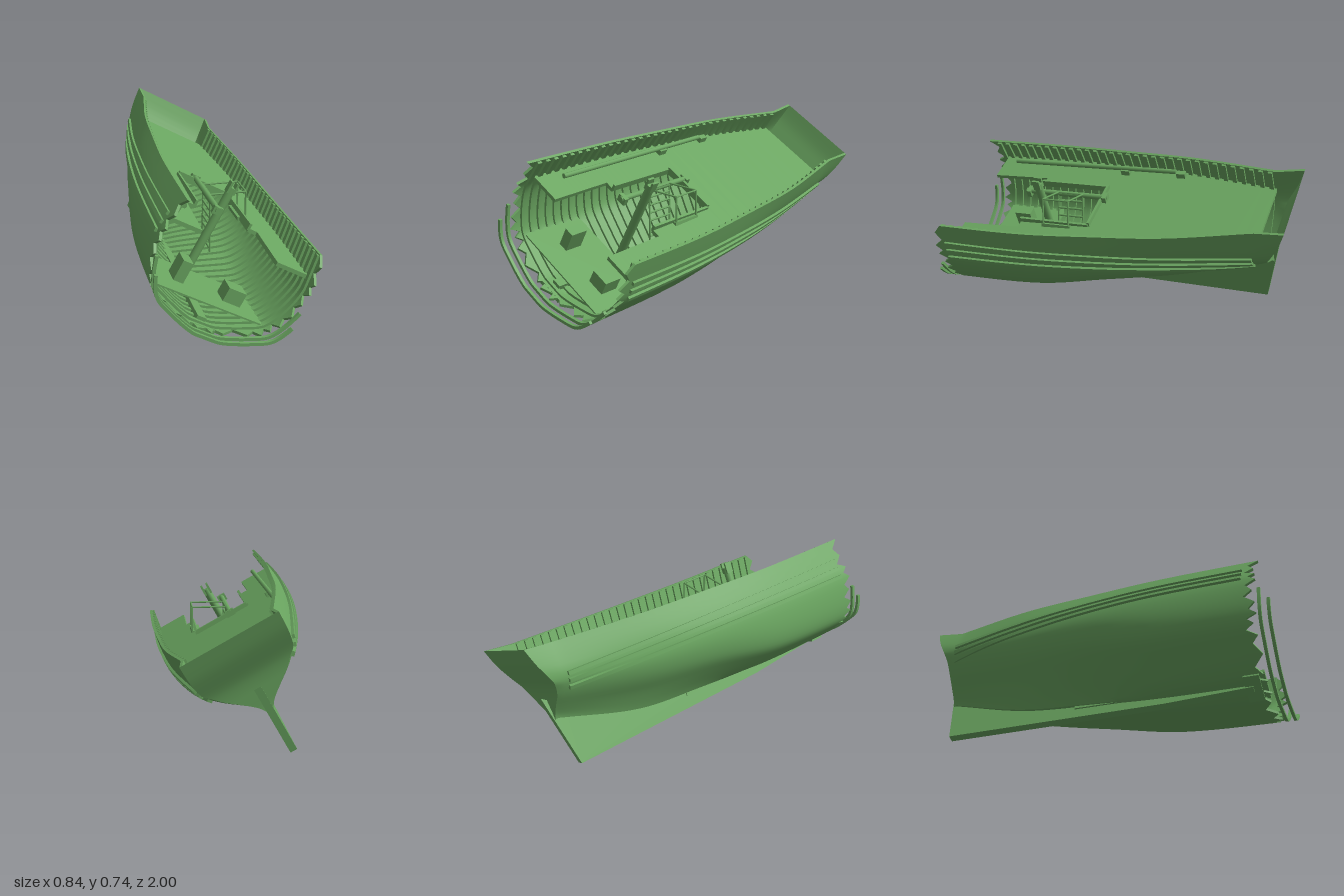
import * as THREE from 'three';
import { toCreasedNormals } from 'three/addons/utils/BufferGeometryUtils.js';

const wood = new THREE.MeshStandardMaterial({ color: 0x6aa560, side: THREE.DoubleSide });
wood.name = 'weathered green';
const V = (x, y, z) => new THREE.Vector3(x, y, z);

// Half sections of the hull, keel to rail: [half breadth, height] at each z
const stations = [
  [-0.85, [[.02, .2], [.04, .225], [.1, .275], [.17, .33], [.215, .375], [.24, .41], [.252, .45], [.25, .52], [.242, .605]]],
  [-0.4, [[.02, .06], [.06, .1], [.14, .17], [.22, .23], [.27, .28], [.308, .34], [.325, .41], [.328, .48], [.321, .582]]],
  [0, [[.02, .02], [.08, .06], [.2, .132], [.28, .185], [.325, .235], [.36, .3], [.375, .37], [.372, .45], [.355, .568]]],
  [0.4, [[.02, 0], [.08, .01], [.22, .07], [.305, .115], [.35, .17], [.385, .25], [.405, .35], [.4, .43], [.38, .558]]],
  [1, [[.02, 0], [.08, .003], [.233, .055], [.313, .095], [.355, .15], [.395, .25], [.415, .349], [.405, .43], [.385, .557]]],
].map(([z, p]) => ({ z, curve: new THREE.CatmullRomCurve3(p.map(([a, b]) => V(a, b, 0))) }));

// Raked stern rim: half breadth, height, z
const sternCurve = new THREE.CatmullRomCurve3([
  V(.02, .2, -.87), V(.04, .23, -.87), V(.1, .285, -.875), V(.165, .34, -.88), V(.205, .385, -.89),
  V(.235, .42, -.905), V(.245, .465, -.93), V(.25, .53, -.965), V(.25, .621, -1)]);

// Smooth interpolation between the stations
function base(v, z) {
  let k = 0;
  while (k < stations.length - 2 && z > stations[k + 1].z) k++;
  const P = i => stations[i].curve.getPoint(v);
  const slope = i => {
    const lo = Math.max(i - 1, 0), hi = Math.min(i + 1, stations.length - 1);
    return P(hi).sub(P(lo)).divideScalar(stations[hi].z - stations[lo].z);
  };
  const h = stations[k + 1].z - stations[k].z, t = (z - stations[k].z) / h, t2 = t * t, t3 = t2 * t;
  const p = P(k).multiplyScalar(2 * t3 - 3 * t2 + 1).addScaledVector(P(k + 1), 3 * t2 - 2 * t3)
    .addScaledVector(slope(k), h * (t3 - 2 * t2 + t)).addScaledVector(slope(k + 1), h * (t3 - t2));
  return p.setZ(z);
}

// Point on one side of the hull, moved inward by off; v < 0 is the high side
function hullPoint(v, z, off = 0, f = base) {
  const s = v < 0 ? -1 : 1, w = Math.abs(v);
  const p = f(w, z), d = f(Math.min(w + .02, 1), z).sub(f(Math.max(w - .02, 0), z)).setZ(0).normalize();
  p.x = Math.max(p.x - d.y * off, .004) * s;
  p.y += d.x * off;
  return p;
}

// Parameter of the hull side at a given height
function vAt(b, z) {
  let lo = 0, hi = 1;
  for (let i = 0; i < 14; i++) {
    const m = (lo + hi) / 2;
    if (base(m, z).y < b) lo = m; else hi = m;
  }
  return lo;
}

// Skin a series of cross-sections
function loft(loops, { closed = true, caps = true, crease = .5 } = {}) {
  const n = loops[0].length, pos = loops.flat().flatMap(p => [p.x, p.y, p.z]), idx = [];
  for (let i = 0; i < loops.length - 1; i++)
    for (let j = 0; j < (closed ? n : n - 1); j++) {
      const a = i * n + j, b = i * n + (j + 1) % n;
      idx.push(a, a + n, b, b, a + n, b + n);
    }
  if (closed && caps) {
    const e = (loops.length - 1) * n;
    for (let j = 1; j < n - 1; j++) idx.push(0, j, j + 1, e, e + j + 1, e + j);
  }
  const g = new THREE.BufferGeometry();
  g.setAttribute('position', new THREE.Float32BufferAttribute(pos, 3));
  g.setIndex(idx);
  return toCreasedNormals(g, crease);
}

const range = (a, b, n) => Array.from({ length: n + 1 }, (_, i) => a + (b - a) * i / n);

function add(parent, name, geometry) {
  const m = new THREE.Mesh(geometry, wood);
  m.name = name;
  parent.add(m);
  return m;
}

function box(parent, name, w, h, d, x, y, z) {
  add(parent, name, new THREE.BoxGeometry(w, h, d)).position.set(x, y, z);
}

function rod(parent, name, from, to, r, sides = 10) {
  const m = add(parent, name, new THREE.CylinderGeometry(r, r, from.distanceTo(to), sides));
  m.position.copy(from).lerp(to, .5);
  m.quaternion.setFromUnitVectors(V(0, 1, 0), to.clone().sub(from).normalize());
}

export function createModel() {
  const model = new THREE.Group();
  model.name = 'shipwreck';
  const ship = new THREE.Group();
  ship.name = 'heeledHull';
  ship.position.set(-.18, .07, 0);
  ship.rotation.z = -.506;
  model.add(ship);

  // Planked shell with a broken, jagged forward edge
  const N = 22, vs = range(-1, 1, 2 * N + 1), thick = .014;
  const ring = (z, f, jag = 0) => {
    const side = off => vs.map((v, i) => {
      const p = hullPoint(v, z, off, f);
      p.z += jag * [1, -.7, .4, -1, .8, -.3][i % 6];
      return p;
    });
    return [...side(0), ...side(thick).reverse()];
  };
  const rings = [ring(.9, base, .03), ...range(.85, -.85, 34).map(z => ring(z, base)), ring(0, v => sternCurve.getPoint(v))];
  add(ship, 'hullShell', loft(rings, { caps: false }));
  const first = rings[0];
  add(ship, 'brokenEdge', loft([first.slice(0, vs.length), first.slice(vs.length).reverse()], { closed: false }));

  // Raked transom across the stern
  add(ship, 'transom', loft(range(0, 1, 20).map(v => {
    const p = sternCurve.getPoint(v);
    return [V(-p.x, p.y, p.z), V(p.x, p.y, p.z)];
  }), { closed: false }));

  // Ribs inside the shell, and two bare frames ahead of it
  const rib = (name, z, v, o1, o2, w) => add(ship, name, loft(range(-v, v, 36).map(t => [
    hullPoint(t, z - w, o1), hullPoint(t, z + w, o1), hullPoint(t, z + w, o2), hullPoint(t, z - w, o2)])));
  for (const z of range(.86, -.82, 32)) rib('rib', z, .995, .012, .027, .012);
  rib('bareFrameAft', .947, vAt(.27, .947), 0, .016, .008);
  rib('bareFrameForward', .992, vAt(.2, .992), 0, .016, .008);

  // Three wales along each side
  for (const s of [-1, 1])
    for (const [b0, b1] of [[.355, .37], [.4, .405], [.447, .44]])
      add(ship, 'wale', loft(range(.86, -.83, 30).map((z, i) => {
        const b = b0 + (b1 - b0) * i / 30, lo = vAt(b - .009, z) * s, hi = vAt(b + .009, z) * s;
        return [hullPoint(lo, z, .004), hullPoint(hi, z, .004), hullPoint(hi, z, -.014), hullPoint(lo, z, -.014)];
      })));

  // Keel with deadwood rising to the sternpost
  const fin = new THREE.Shape([[.85, -.012], [.4, -.045], [-.81, -.062], [-.905, .33], [-.86, .3], [-.8, .215],
    [-.4, .09], [0, .035], [.4, .012], [.85, .008]].map(([z, b]) => new THREE.Vector2(-z, b)));
  const finGeo = new THREE.ExtrudeGeometry(fin, { depth: .036, bevelEnabled: false });
  finGeo.translate(0, 0, -.018).rotateY(Math.PI / 2);
  add(ship, 'keel', finGeo);
  box(ship, 'floorTimber', .16, .022, .08, 0, .004, .85);
  box(ship, 'keelson', .05, .03, .95, 0, .03, .38);

  // Upper deck, open amidships and forward, with a gentle sheer
  const deckY = z => .432 + .05 * (.83 - z) / 1.66;
  const deckEdge = z => hullPoint(vAt(deckY(z), z), z, .012).x;
  const deck = (name, z0, z1, left, right) => add(ship, name, loft(range(z0, z1, 12).map(z => {
    const y = deckY(z), l = left(z), r = right(z);
    return [V(l, y, z), V(r, y, z), V(r, y - .02, z), V(l, y - .02, z)];
  })));
  deck('mainDeck', .09, -.845, z => -deckEdge(z), deckEdge);
  for (const [z0, z1, inner] of [[.5, .09, .16], [.84, .5, .21]]) {
    deck('sideDeck', z0, z1, z => -deckEdge(z), () => -inner);
    deck('sideDeck', z0, z1, () => inner, deckEdge);
  }
  for (const a of [-.16, .16]) box(ship, 'hatchCoaming', .014, .035, .41, a, .45, .295);
  box(ship, 'hatchCoaming', .32, .035, .014, 0, .46, .09);

  // Lower deck and cargo
  box(ship, 'lowerDeck', .6, .008, .36, 0, .116, .68);
  box(ship, 'crate', .1, .075, .1, .155, .157, .7);
  box(ship, 'tallCrate', .055, .11, .1, -.142, .175, .68);

  // Mast stump with a split top, and the fallen spar beside it
  rod(ship, 'mastStump', V(0, .02, .43), V(0, .585, .43), .023, 14);
  for (const a of [-.017, .017]) box(ship, 'mastCheek', .012, .06, .04, a, .583, .43);
  rod(ship, 'fallenSpar', V(-.056, .475, .055), V(-.056, .475, .55), .015);
  for (const z of [.07, .53]) box(ship, 'sparBracket', .05, .04, .025, -.056, .47, z);

  // Loose yard lying along the high side
  rod(model, 'looseYard', V(-.213, .633, .73), V(-.2, .645, -.27), .013);
  for (const z of [.03, -.3]) box(ship, 'deckCleat', .03, .03, .05, -.29, deckY(z) + .015, z);

  // Ladder and handrail hanging through the hatch
  for (const z of [.2, .35]) {
    rod(model, 'handrail', V(.01, .2, z), V(.01, .52, z), .005, 6);
    rod(model, 'handrail', V(.01, .52, z), V(.2, .52, z), .005, 6);
    rod(model, 'handrail', V(.2, .52, z), V(.2, .38, z), .005, 6);
  }
  for (const y of range(.22, .52, 7)) rod(model, 'ladderRung', V(.01, y, .2), V(.01, y, .35), .006, 6);
  rod(model, 'handrailBar', V(.2, .52, .2), V(.2, .52, .35), .005, 6);
  box(model, 'railFoot', .05, .02, .17, .18, .375, .275);

  return model;
}
